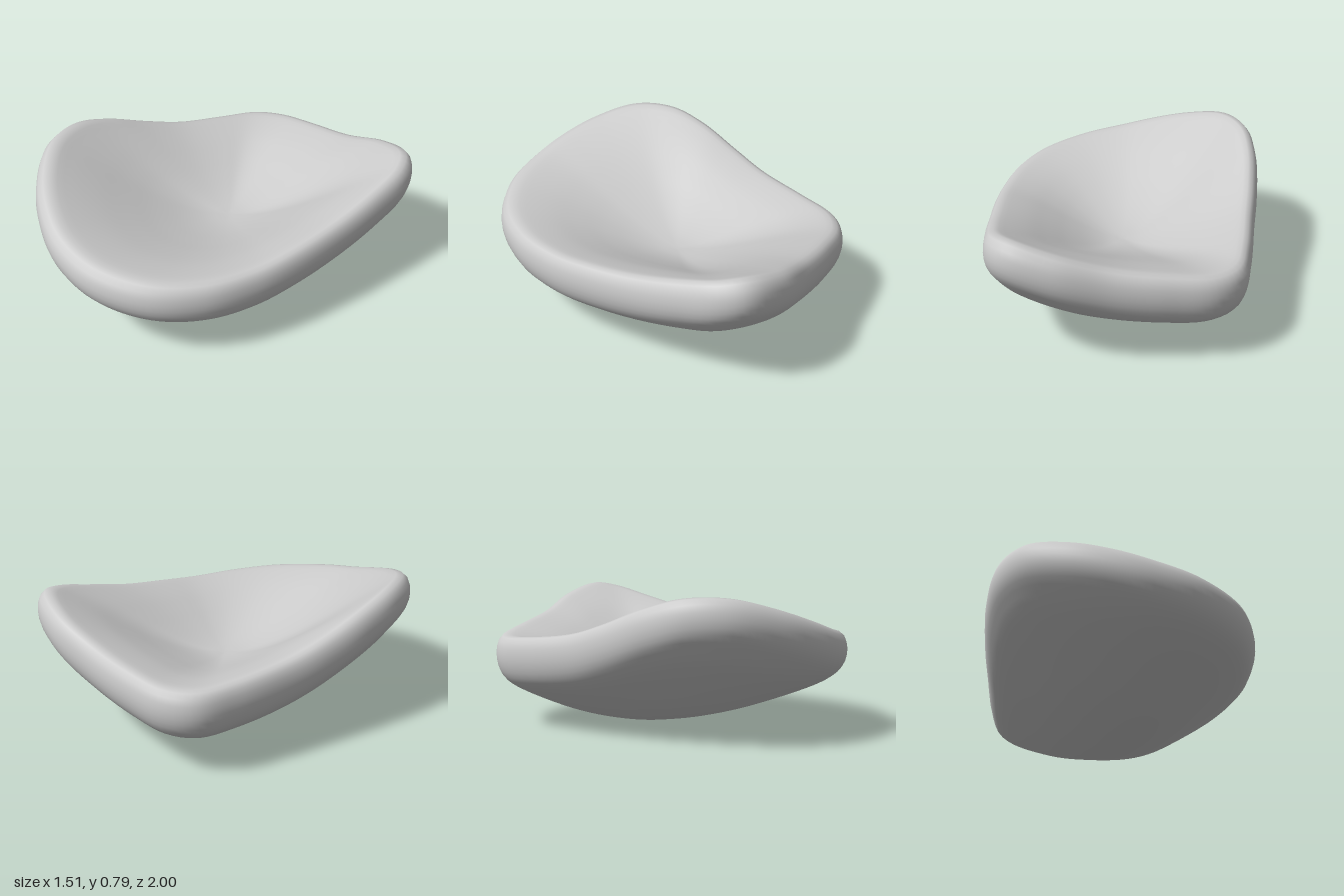
import * as THREE from 'three';

// Rim of the dish: x, crest height, z, counterclockwise from the front
const RIM = [
  [0, .607, 1], [.26, .565, .955], [.52, .535, .78], [.67, .52, .53], [.735, .523, .25],
  [.755, .55, 0], [.754, .595, -.3], [.74, .665, -.6], [.705, .722, -.82], [.615, .742, -.94],
  [.38, .685, -1], [.1, .6, -.975], [-.2, .55, -.947], [-.44, .52, -.895], [-.575, .515, -.78],
  [-.64, .53, -.55], [-.69, .57, -.25], [-.73, .635, -.02], [-.757, .73, .25], [-.735, .788, .48],
  [-.63, .79, .7], [-.42, .73, .875], [-.2, .662, .97],
].map((p) => new THREE.Vector3(...p));

const AROUND = 144, ALONG = 64;
const EDGE = 0.25;        // height of the rounded edge
const FLOOR = 0.33;       // height of the inside floor
const CREST = 0.925;      // where the crest lies on the way to the outline
const BASE = new THREE.Vector2(0.02, -0.2);   // lowest point underneath (x, z)
const BOWL = new THREE.Vector2(0.03, -0.1);   // lowest point inside (x, z)

// Section from the underside pole, round the edge, to the inside pole:
// x = share of the way to the outline, y = height
function section(h) {
  const low = h - EDGE;
  // Low parts of the rim roll over softly, high ones rise more steeply
  const soft = THREE.MathUtils.mapLinear(h, 0.52, 0.79, 0.85, 0.4);
  const inside = (t) => {
    const s = t / CREST;
    return [t, FLOOR + (h - FLOOR) * s * s * (1 + soft * 2 * (1 - s))];
  };
  return new THREE.SplineCurve([
    [0, 0], [.12, low * .03], [.3, low * .135], [.5, low * .32], [.7, low * .575], [.86, low * .82],
    [.945, low + .005], [.985, h - .185], [1, h - .12], [.993, h - .058], [.97, h - .016],
    [CREST, h], ...[.84, .7, .55, .4, .25, .12].map(inside), [0, FLOOR],
  ].map(([t, y]) => new THREE.Vector2(t, y)));
}

function dishGeometry() {
  const outline = new THREE.CatmullRomCurve3(RIM, true, 'centripetal');
  const pos = [], index = [];
  for (let i = 0; i < AROUND; i++) {
    const p = outline.getPointAt(i / AROUND);
    const points = section(p.y).getSpacedPoints(ALONG);
    for (let j = 1; j < ALONG; j++) {
      const { x: t, y } = points[j];
      const c = BASE.clone().lerp(BOWL, THREE.MathUtils.smoothstep(j / ALONG, 0.4, 0.7));
      pos.push(c.x + (p.x - c.x) * t, y, c.y + (p.z - c.y) * t);
    }
  }
  // The two poles
  const bottom = pos.length / 3, top = bottom + 1;
  pos.push(BASE.x, 0, BASE.y, BOWL.x, FLOOR, BOWL.y);

  const rows = ALONG - 1;
  for (let i = 0; i < AROUND; i++) {
    const a = i * rows, b = ((i + 1) % AROUND) * rows;
    index.push(bottom, b, a);
    for (let j = 0; j < rows - 1; j++) {
      index.push(a + j, b + j, a + j + 1, b + j, b + j + 1, a + j + 1);
    }
    index.push(a + rows - 1, b + rows - 1, top);
  }

  const geometry = new THREE.BufferGeometry();
  geometry.setAttribute('position', new THREE.Float32BufferAttribute(pos, 3));
  geometry.setIndex(index);
  geometry.computeVertexNormals();
  return geometry;
}

export function createModel() {
  const group = new THREE.Group();
  group.name = 'curvedDish';
  const dish = new THREE.Mesh(dishGeometry(), new THREE.MeshStandardMaterial({ color: 0xcccccc }));
  dish.name = 'dish';
  group.add(dish);
  return group;
}
